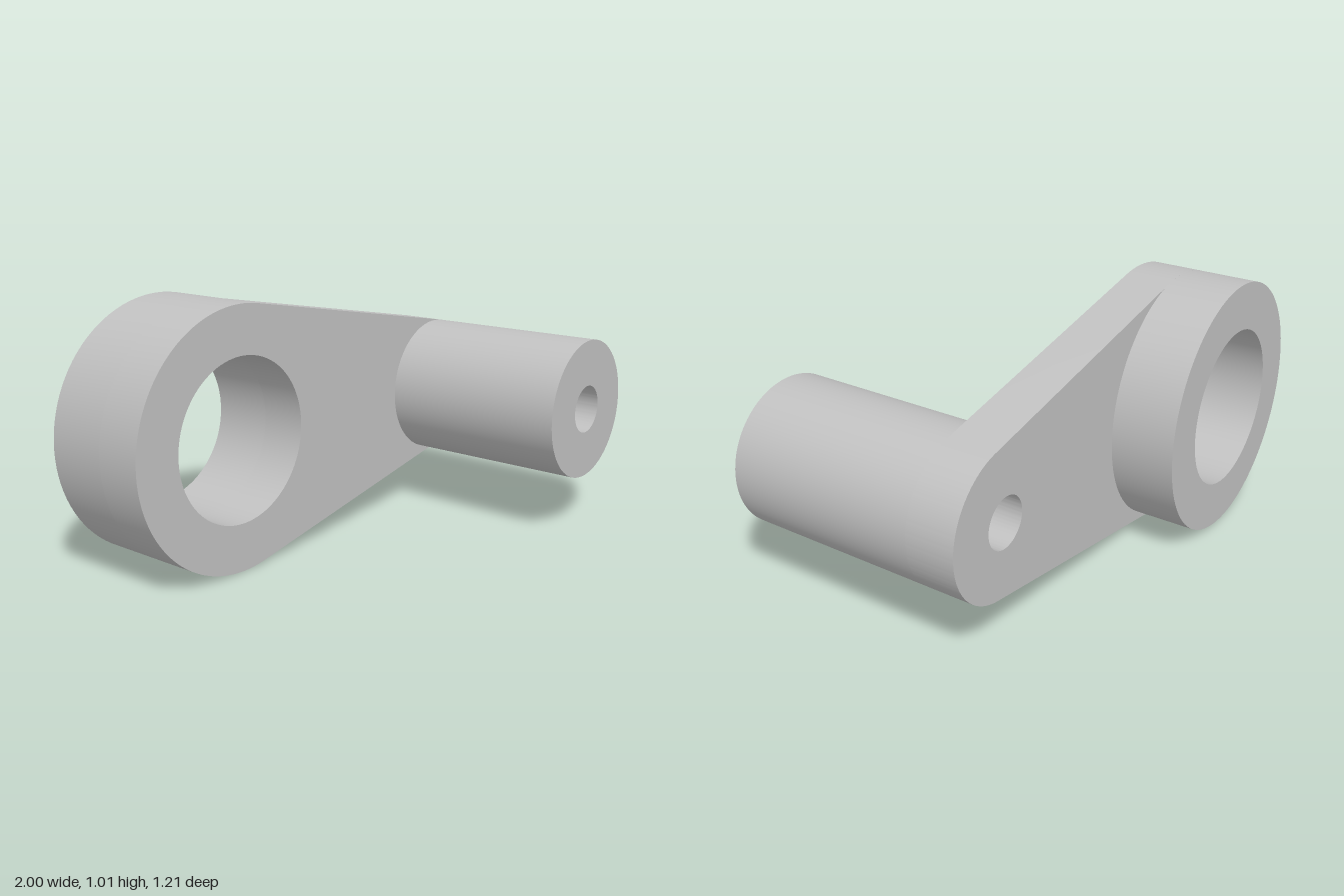
import * as THREE from 'three';
import { toCreasedNormals } from 'three/addons/utils/BufferGeometryUtils.js';

// Axes of the two bores: centre, outer radius and bore radius
const hub = { x: -0.493, y: 0.508, r: 0.507, bore: 0.318 };
const pin = { x: 0.714, y: 0.51, r: 0.285, bore: 0.097 };
// Depth stations from back to front
const BACK = -0.603, WEB_BACK = -0.35, WEB_FRONT = -0.16, FRONT = 0.603;

function addBore(shape, c) {
  shape.holes.push(new THREE.Path().absarc(c.x, c.y, c.bore, 0, Math.PI * 2, true));
}

function ring(c) {
  const shape = new THREE.Shape().absarc(c.x, c.y, c.r, 0, Math.PI * 2, false);
  addBore(shape, c);
  return shape;
}

// Outline of two circles joined by their outer tangents
function armOutline() {
  const tilt = Math.atan2(pin.y - hub.y, pin.x - hub.x);
  const a = Math.acos((hub.r - pin.r) / Math.hypot(pin.x - hub.x, pin.y - hub.y));
  const shape = new THREE.Shape();
  shape.absarc(hub.x, hub.y, hub.r, tilt + a, tilt + Math.PI * 2 - a, false);
  shape.absarc(pin.x, pin.y, pin.r, tilt - a, tilt + a, false);
  shape.closePath();
  addBore(shape, hub);
  addBore(shape, pin);
  return shape;
}

export function createModel() {
  const group = new THREE.Group();
  group.name = 'crankArm';
  const metal = new THREE.MeshStandardMaterial({ color: 0xc0c0c0 });
  metal.name = 'grey metal';

  const addPart = (name, shape, z0, z1) => {
    const geo = new THREE.ExtrudeGeometry(shape, { depth: z1 - z0, bevelEnabled: false, curveSegments: 48 });
    geo.translate(0, 0, z0);
    const mesh = new THREE.Mesh(toCreasedNormals(geo, 0.5), metal);
    mesh.name = name;
    group.add(mesh);
  };

  addPart('hubRing', ring(hub), BACK, WEB_BACK);        // large boss at the back
  addPart('armPlate', armOutline(), WEB_BACK, WEB_FRONT); // tapered web
  addPart('pinSleeve', ring(pin), WEB_FRONT, FRONT);    // long tube at the front
  return group;
}
